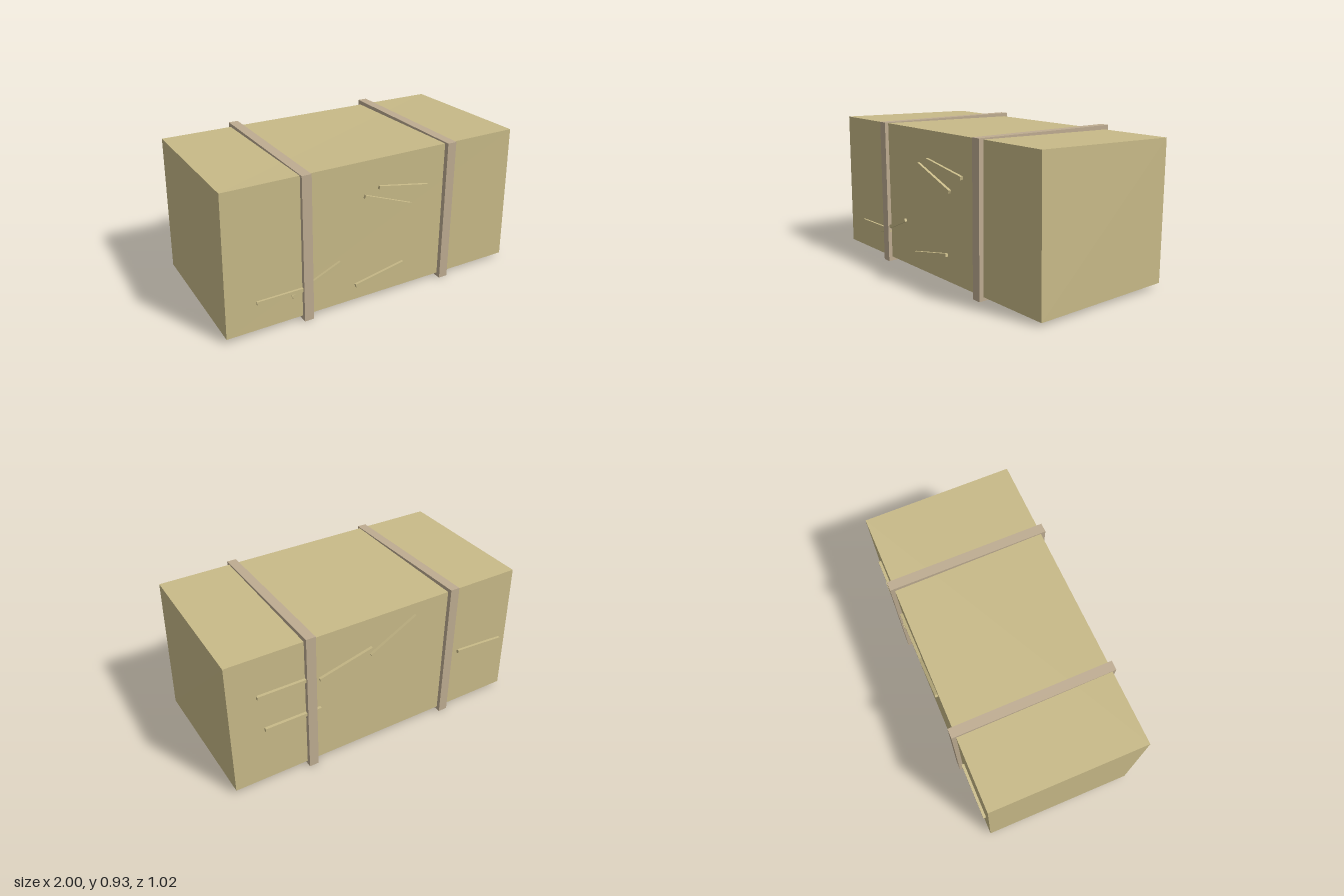
import * as THREE from 'three';

const hay = new THREE.MeshStandardMaterial({ color: 0xc8ba88, flatShading: true });
hay.name = 'hay';
const twine = new THREE.MeshStandardMaterial({ color: 0xbeac91, flatShading: true });
twine.name = 'twine';

// Box whose eight corners are nudged to given positions, for a hand-packed look
function baleGeometry() {
  const corners = {
    '-1,-1,-1': [-0.99, 0.02, -0.485], '1,-1,-1': [0.99, 0.025, -0.482],
    '-1,-1,1': [-1.0, 0.03, 0.487], '1,-1,1': [0.998, 0.021, 0.478],
    '-1,1,-1': [-0.972, 0.905, -0.483], '1,1,-1': [0.99, 0.897, -0.483],
    '-1,1,1': [-0.982, 0.922, 0.49], '1,1,1': [0.978, 0.916, 0.476],
  };
  const geo = new THREE.BoxGeometry(2, 2, 2);
  const pos = geo.attributes.position;
  for (let i = 0; i < pos.count; i++) {
    const key = [pos.getX(i), pos.getY(i), pos.getZ(i)].map(Math.sign).join(',');
    pos.setXYZ(i, ...corners[key]);
  }
  geo.computeVertexNormals();
  return geo;
}

function addBox(parent, name, size, position, material) {
  const mesh = new THREE.Mesh(new THREE.BoxGeometry(...size), material);
  mesh.name = name;
  mesh.position.set(...position);
  parent.add(mesh);
  return mesh;
}

// A loose stalk lying on the bale between two points of the face at depth z
function addStraw(parent, name, [x1, y1, x2, y2], z) {
  const length = Math.hypot(x2 - x1, y2 - y1);
  const straw = addBox(parent, name, [length, 0.021, 0.022],
    [(x1 + x2) / 2, (y1 + y2) / 2, z], hay);
  straw.rotation.z = Math.atan2(y2 - y1, x2 - x1);
}

export function createModel() {
  const model = new THREE.Group();
  model.name = 'hayBale';

  const bale = new THREE.Mesh(baleGeometry(), hay);
  bale.name = 'baleBody';
  model.add(bale);

  // Twine bands: four bars around the bale
  for (const x of [-0.49, 0.49]) {
    const band = new THREE.Group();
    band.name = x < 0 ? 'rightBand' : 'leftBand';
    band.position.x = x;
    addBox(band, 'bandTop', [0.06, 0.06, 1.02], [0, 0.896, 0], twine);
    addBox(band, 'bandBottom', [0.06, 0.06, 1.02], [0, 0.03, 0], twine);
    for (const z of [-0.48, 0.48]) {
      addBox(band, z < 0 ? 'bandBack' : 'bandFront', [0.06, 0.806, 0.06], [0, 0.463, z], twine);
    }
    model.add(band);
  }

  // Loose straws on the front and back faces
  const frontStraws = [
    [-0.81, 0.21, -0.46, 0.21], [-0.59, 0.18, -0.27, 0.317], [-0.165, 0.125, 0.178, 0.19],
    [-0.11, 0.703, 0.215, 0.58], [-0.013, 0.74, 0.333, 0.678],
  ];
  const backStraws = [
    [0.47, 0.643, 0.82, 0.643], [0.425, 0.402, 0.785, 0.402], [0.08, 0.7, 0.43, 0.61],
    [-0.225, 0.82, 0.085, 0.65], [-0.93, 0.41, -0.58, 0.43],
  ];
  frontStraws.forEach((s) => addStraw(model, 'frontStraw', s, 0.488));
  backStraws.forEach((s) => addStraw(model, 'backStraw', s, -0.49));

  return model;
}
